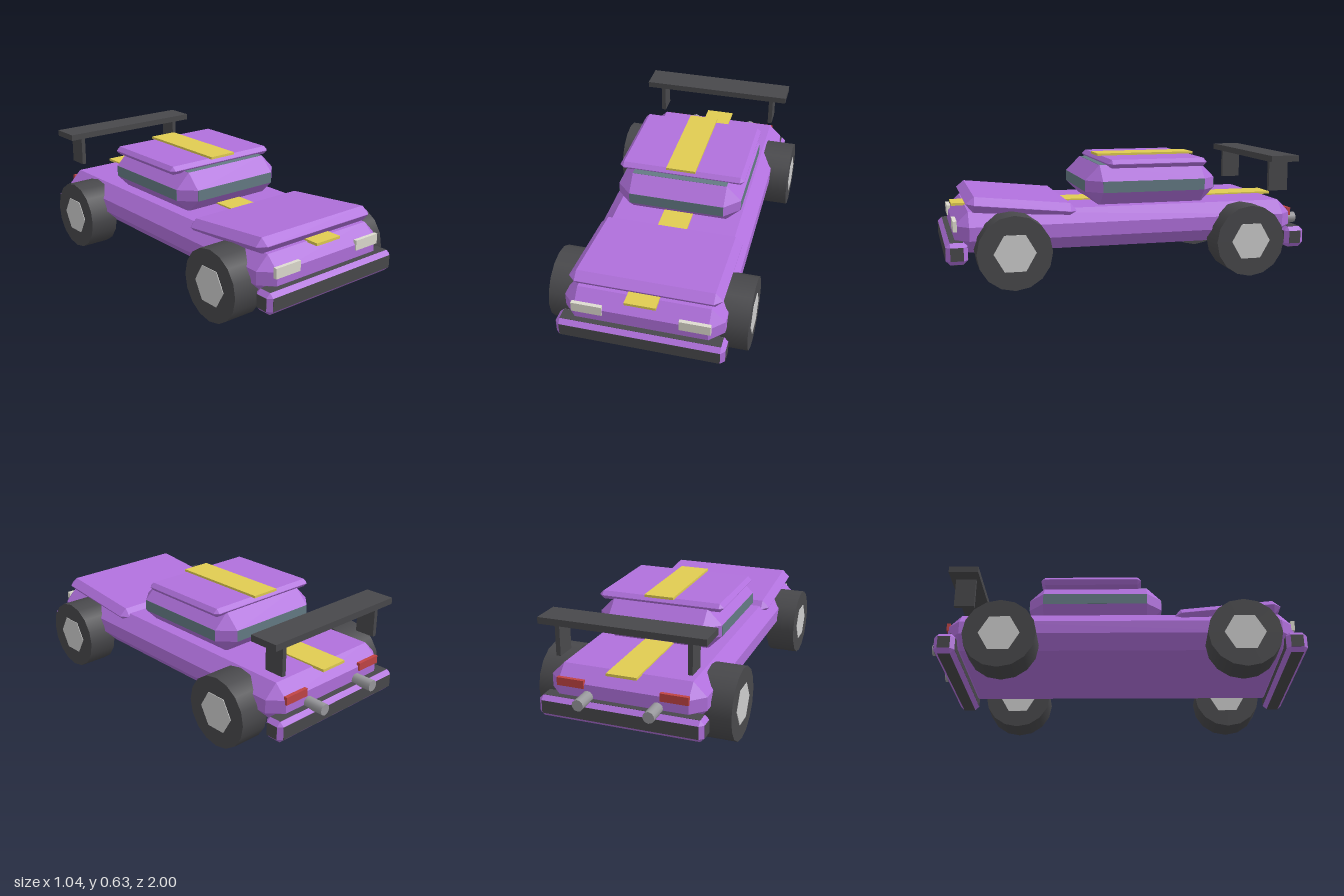
import * as THREE from 'three';
import { ConvexGeometry } from 'three/addons/geometries/ConvexGeometry.js';

const mat = (color, flatShading = true) => new THREE.MeshStandardMaterial({ color, flatShading });
const paint = mat(0xb070dc), dark = mat(0x48484b), yellow = mat(0xe0cc52), glass = mat(0x647a84);
const lamp = mat(0xdedcd0), red = mat(0xc04444), hubGrey = mat(0xcccccc);
const rubber = mat(0x48484b, false), steel = mat(0x98989c, false);

export function createModel() {
  const car = new THREE.Group();
  car.name = 'car';

  const add = (name, geometry, material, x, y, z) => {
    const mesh = new THREE.Mesh(geometry, material);
    mesh.name = name;
    mesh.position.set(x, y, z);
    car.add(mesh);
    return mesh;
  };
  const box = (name, material, w, h, d, x, y, z) =>
    add(name, new THREE.BoxGeometry(w, h, d), material, x, y, z);

  // Box with every edge cut off by c: three corner points at each of eight corners
  const chamferBox = (name, material, w, h, d, c, x, y, z) => {
    const points = [];
    for (const sx of [-1, 1]) for (const sy of [-1, 1]) for (const sz of [-1, 1])
      for (let axis = 0; axis < 3; axis++) {
        const p = [w, h, d].map((size, i) => size / 2 - (i === axis ? 0 : c));
        points.push(new THREE.Vector3(sx * p[0], sy * p[1], sz * p[2]));
      }
    return add(name, new ConvexGeometry(points), material, x, y, z);
  };

  // Thin panels lying on the six flat faces of a chamfered box
  const facePanels = (name, material, w, h, d, c, x, y, z) => {
    const e = 0.002, k = 2 * c;
    box(name + 'Sides', material, w + e, h - k, d - k, x, y, z);
    box(name + 'TopAndBottom', material, w - k, h + e, d - k, x, y, z);
    box(name + 'FrontAndBack', material, w - k, h - k, d + e, x, y, z);
  };

  // Body and raised, tilted hood
  chamferBox('body', paint, 0.82, 0.21, 1.84, 0.07, 0, 0.275, 0.03);
  chamferBox('hood', paint, 0.78, 0.08, 0.575, 0.039, 0, 0.392, 0.605).rotation.x = -0.1;

  // Cabin, windows and roof
  const cabin = [0.68, 0.22, 0.725, 0.08, 0, 0.48, -0.107];
  chamferBox('cabin', paint, ...cabin);
  facePanels('window', glass, ...cabin);
  chamferBox('roof', paint, 0.69, 0.045, 0.55, 0.021, 0, 0.6, -0.13);

  // Racing stripes
  box('bodyStripe', yellow, 0.16, 0.014, 1.84, 0, 0.381, 0.028);
  box('roofStripe', yellow, 0.16, 0.013, 0.555, 0, 0.628, -0.132);

  // Bumpers: painted edges with dark faces
  for (const [name, z] of [['frontBumper', 0.945], ['rearBumper', -0.888]]) {
    const size = [0.864, 0.112, 0.11, 0.022, 0, 0.181, z];
    chamferBox(name, paint, ...size);
    facePanels(name + 'Trim', dark, ...size);
  }

  // Spoiler wing
  box('spoilerWing', dark, 0.864, 0.034, 0.16, 0, 0.615, -0.817);

  // Mirrored parts
  const tyre = new THREE.CylinderGeometry(0.19, 0.19, 0.164, 16).rotateZ(Math.PI / 2);
  const hub = new THREE.CylinderGeometry(0.107, 0.107, 0.17, 6).rotateZ(Math.PI / 2);
  const pipe = new THREE.CylinderGeometry(0.03, 0.03, 0.15, 12).rotateX(Math.PI / 2);
  for (const [side, s] of [['left', 1], ['right', -1]]) {
    box(side + 'SpoilerSupport', dark, 0.024, 0.17, 0.11, s * 0.342, 0.518, -0.815);
    box(side + 'Headlight', lamp, 0.158, 0.054, 0.02, s * 0.274, 0.308, 0.947);
    box(side + 'TailLight', red, 0.145, 0.042, 0.02, s * 0.272, 0.31, -0.889);
    add(side + 'ExhaustPipe', pipe, steel, s * 0.183, 0.248, -0.925);
    for (const [end, z] of [['Front', 0.667], ['Rear', -0.59]]) {
      add(side + end + 'Tyre', tyre, rubber, s * 0.435, 0.19, z);
      add(side + end + 'Hub', hub, hubGrey, s * 0.435, 0.19, z);
    }
  }
  return car;
}
